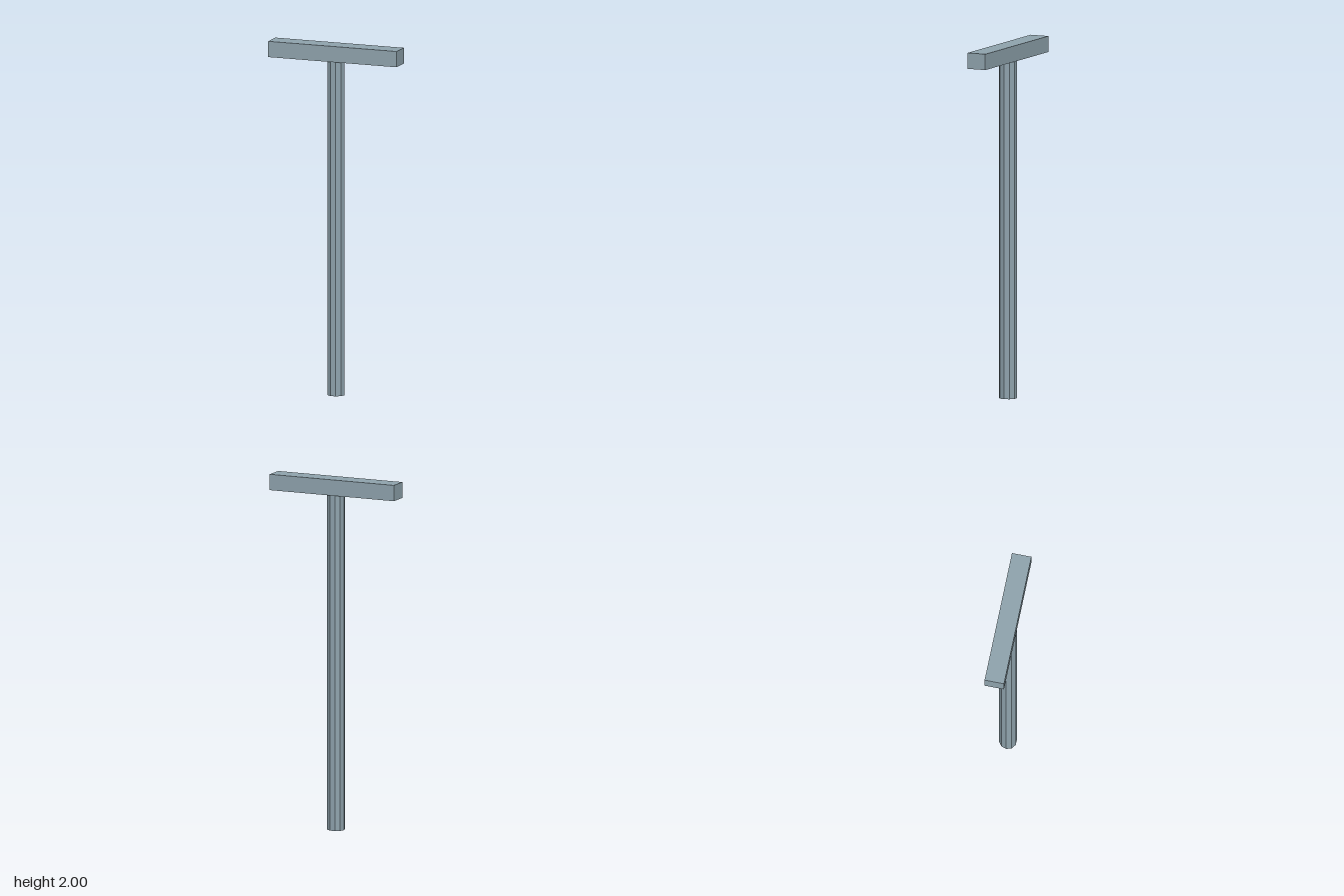
import * as THREE from 'three';

export function createModel() {
  const model = new THREE.Group();
  const greyBlue = new THREE.MeshStandardMaterial({ color: 0x90a4ae, flatShading: true });
  greyBlue.name = 'greyBlue';

  const barHeight = 0.09;
  const poleHeight = 2 - barHeight;

  // Ten-sided upright pole, with corners on the x axis
  const pole = new THREE.Mesh(
    new THREE.CylinderGeometry(0.05, 0.05, poleHeight, 10, 1, false, Math.PI / 2),
    greyBlue
  );
  pole.name = 'pole';
  pole.position.y = poleHeight / 2;

  // Crossbar resting on the pole
  const crossbar = new THREE.Mesh(new THREE.BoxGeometry(0.772, barHeight, 0.111), greyBlue);
  crossbar.name = 'crossbar';
  crossbar.position.y = poleHeight + barHeight / 2;

  model.add(pole, crossbar);
  return model;
}
